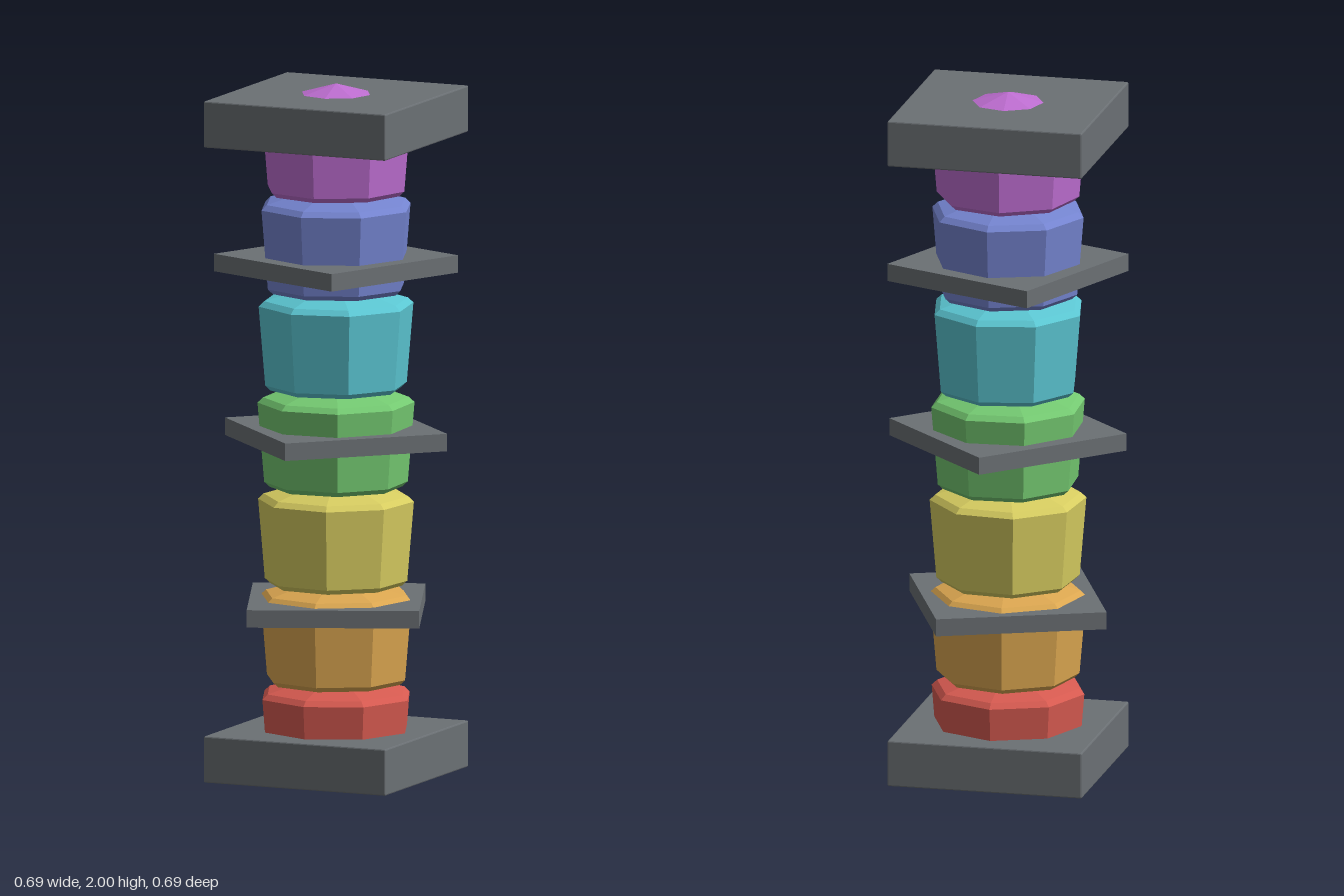
import * as THREE from 'three';
import { RoundedBoxGeometry } from 'three/addons/geometries/RoundedBoxGeometry.js';

const flat = (name, color) => {
  const m = new THREE.MeshStandardMaterial({ color, flatShading: true });
  m.name = name;
  return m;
};

export function createModel() {
  const group = new THREE.Group();
  const add = (name, geometry, material, y, turn = 0) => {
    const mesh = new THREE.Mesh(geometry, material);
    mesh.name = name;
    mesh.position.y = y;
    mesh.rotation.y = turn;
    group.add(mesh);
  };

  // Stacked eight-sided gems, each turned slightly more than the one below
  const profile = [
    [0, 0], [0.188, 0.006], [0.203, 0.02], [0.222, 0.247], [0.206, 0.262], [0, 0.32],
  ].map(([r, y]) => new THREE.Vector2(r, y));
  const gem = new THREE.LatheGeometry(profile, 8);
  const colors = [
    ['red', 0xd65a50], ['orange', 0xdba650], ['yellow', 0xd6cc60], ['green', 0x74c971],
    ['cyan', 0x5bc6d2], ['blue', 0x7484d0], ['purple', 0xbd6dd0],
  ];
  colors.forEach(([name, color], i) => add(name + 'Gem', gem, flat(name, color), i * 0.28, i * 0.15));

  // Thick square base and cap with slightly softened edges
  const grey = flat('slate grey', 0x6b7074);
  const block = new RoundedBoxGeometry(0.565, 0.133, 0.565, 1, 0.004);
  add('base', block, grey, 0.087);
  add('cap', block, grey, 1.905);

  // Thin square collars twisting up the column
  const collar = new THREE.BoxGeometry(0.488, 0.05, 0.488);
  [0.505, 0.995, 1.485].forEach((y, i) => add('collar' + (i + 1), collar, grey, y, (i + 1) * Math.PI / 8));

  return group;
}
